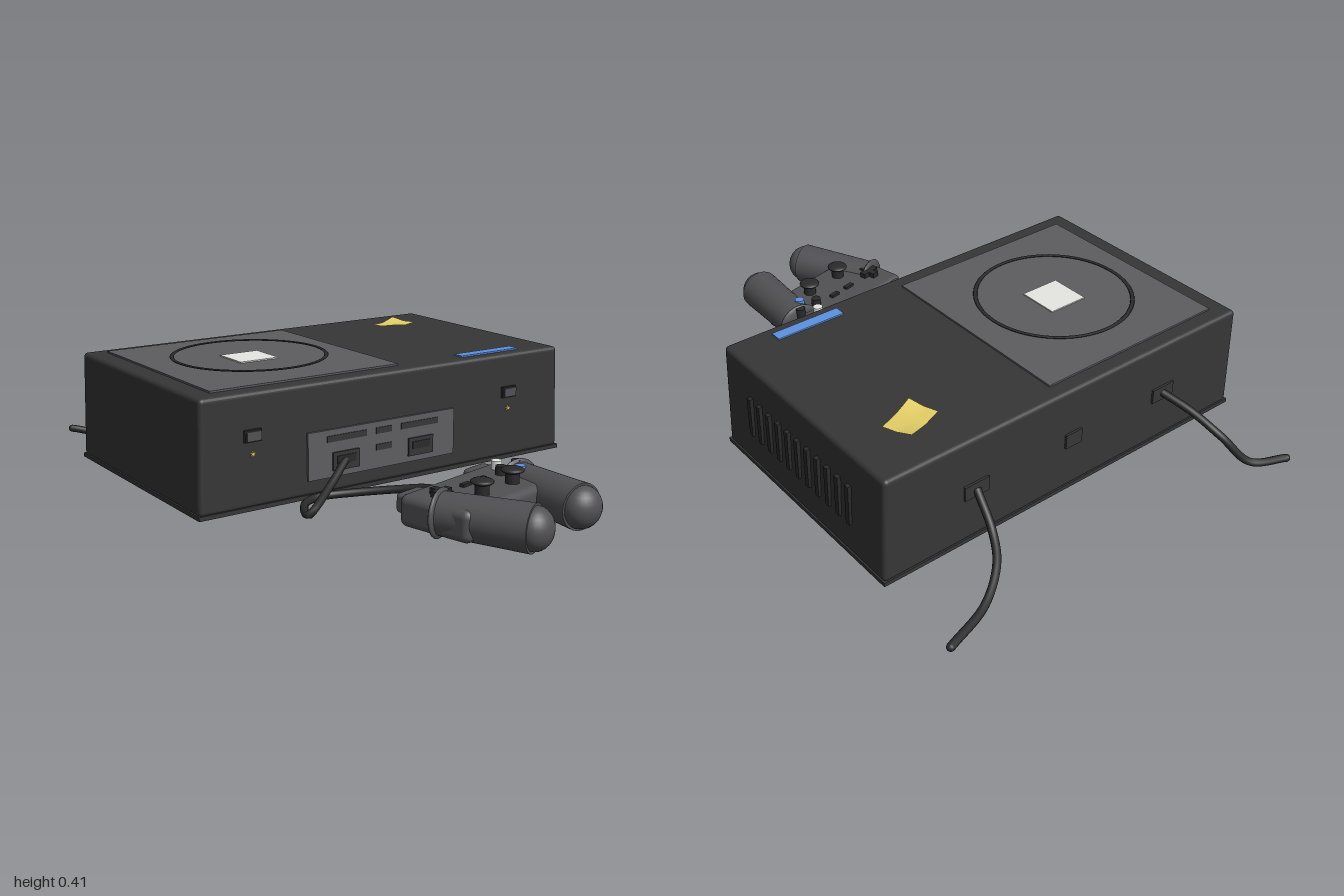
import * as THREE from 'three';
import { RoundedBoxGeometry } from 'three/addons/geometries/RoundedBoxGeometry.js';

const colours = {
  shell: 0x363636, panel: 0x5d5d61, pad: 0x515155, dark: 0x2a2a2b,
  white: 0xe8e8e4, yellow: 0xe4cf66, blue: 0x5c92e2,
};

export function createModel() {
  const model = new THREE.Group();
  const mats = {};
  for (const [name, color] of Object.entries(colours)) {
    mats[name] = new THREE.MeshStandardMaterial({ color });
    mats[name].name = name;
  }

  const add = (name, geo, mat, x = 0, y = 0, z = 0, ry = 0, parent = model) => {
    const mesh = new THREE.Mesh(geo, mats[mat]);
    mesh.name = name;
    mesh.position.set(x, y, z);
    mesh.rotation.y = ry;
    parent.add(mesh);
    return mesh;
  };
  const box = (w, h, d) => new THREE.BoxGeometry(w, h, d);
  const disc = (r, h, n = 24, r2 = r) => new THREE.CylinderGeometry(r, r2, h, n);
  const cable = (name, pts) => {
    const curve = new THREE.CatmullRomCurve3(pts.map((p) => new THREE.Vector3(...p)));
    add(name, new THREE.TubeGeometry(curve, 48, 0.013, 10), 'dark');
    const end = add(name + 'End', new THREE.SphereGeometry(0.013, 10, 8), 'dark');
    end.position.copy(curve.getPoint(1));
  };

  // Console shell, slightly narrower towards the top
  const shell = new RoundedBoxGeometry(1.43, 0.36, 0.85, 3, 0.014);
  const pos = shell.attributes.position;
  for (let i = 0; i < pos.count; i++) {
    const t = (pos.getY(i) + 0.18) / 0.36;
    pos.setX(i, pos.getX(i) * (1 - 0.016 * t));
    pos.setZ(i, pos.getZ(i) * (1 - 0.006 * t));
  }
  shell.computeVertexNormals();
  add('consoleShell', shell, 'shell', -0.003, 0.21, -0.223);
  add('basePlate', box(1.435, 0.014, 0.855), 'shell', -0.003, 0.028, -0.223);

  for (const x of [-0.58, 0.57])
    for (const z of [0.11, -0.55]) add('foot', disc(0.038, 0.024, 24, 0.033), 'dark', x, 0.012, z);

  // Lid panel with a thin raised ring and a label
  add('lidPanel', box(0.695, 0.008, 0.73), 'panel', -0.293, 0.392, -0.225);
  const ring = new THREE.TorusGeometry(0.257, 0.007, 8, 64).rotateX(Math.PI / 2).scale(1, 0.4, 1);
  add('lidRing', ring, 'dark', -0.293, 0.405, -0.225);
  add('lidLabel', box(0.142, 0.004, 0.14), 'white', -0.295, 0.398, -0.225);

  // Blue strip and curled sticker
  add('blueStrip', box(0.245, 0.006, 0.04), 'blue', 0.427, 0.392, 0.14);
  const sticker = new THREE.PlaneGeometry(0.145, 0.1, 12, 6).rotateX(-Math.PI / 2);
  const sp = sticker.attributes.position;
  for (let i = 0; i < sp.count; i++) {
    const u = sp.getX(i) / 0.0725;
    sp.setY(i, 0.010 * Math.max(0, u * sp.getZ(i) / -0.05) + 0.002 * u * u);
  }
  sticker.computeVertexNormals();
  mats.yellow.side = THREE.DoubleSide;
  add('sticker', sticker, 'yellow', 0.477, 0.394, -0.465, 0.37);

  // Front panel, slots and ports
  add('frontPanel', box(0.575, 0.155, 0.012), 'panel', -0.052, 0.157, 0.203);
  for (const [x, w] of [[-0.195, 0.15], [-0.052, 0.06], [0.092, 0.15]])
    add('frontSlot', box(w, 0.02, 0.006), 'shell', x, 0.205, 0.209);
  for (const x of [-0.2, 0.095]) {
    add('controllerPort', box(0.1, 0.06, 0.012), 'shell', x, 0.13, 0.209);
    add('portInset', box(0.07, 0.025, 0.004), 'dark', x, 0.135, 0.216);
  }
  add('centrePort', box(0.06, 0.02, 0.006), 'shell', -0.052, 0.15, 0.209);

  // Front buttons with a small star-shaped light below
  const star = new THREE.Shape();
  for (let i = 0; i < 10; i++) {
    const r = i % 2 ? 0.0045 : 0.01, a = Math.PI / 2 + i * Math.PI / 5;
    star[i ? 'lineTo' : 'moveTo'](r * Math.cos(a), r * Math.sin(a));
  }
  const starGeo = new THREE.ExtrudeGeometry(star, { depth: 0.009, bevelEnabled: false });
  for (const x of [-0.533, 0.477]) {
    add('buttonFrame', box(0.058, 0.038, 0.014), 'dark', x, 0.258, 0.204);
    add('frontButton', box(0.05, 0.03, 0.014), 'pad', x, 0.258, 0.21);
    add('indicator', starGeo, 'yellow', x, 0.2, 0.199);
  }

  // Side vents
  for (let i = 0; i < 11; i++)
    add('ventSlot', box(0.018, 0.14, 0.018), 'dark', 0.708, 0.21, 0.045 - i * 0.0525);

  // Rear sockets and loose cables
  for (const x of [-0.385, 0, 0.38])
    add('rearSocket', box(x ? 0.09 : 0.065, 0.05, 0.014), 'shell', x, 0.21, -0.647);
  cable('rearCableRight', [[-0.385, 0.21, -0.65], [-0.42, 0.175, -0.75], [-0.455, 0.12, -0.85],
    [-0.53, 0.025, -0.92], [-0.625, 0.035, -0.985]]);
  cable('rearCableLeft', [[0.38, 0.21, -0.65], [0.395, 0.12, -0.74], [0.44, 0.075, -0.815],
    [0.54, 0.03, -0.885], [0.71, 0.025, -0.945]]);

  // Controller cable
  cable('controllerCable', [[-0.2, 0.13, 0.21], [-0.3, 0.08, 0.275], [-0.43, 0.03, 0.355],
    [-0.425, 0.025, 0.325], [-0.37, 0.025, 0.24], [-0.3, 0.025, 0.212], [-0.2, 0.03, 0.25],
    [-0.09, 0.045, 0.34], [-0.037, 0.06, 0.42], [-0.028, 0.065, 0.5]]);

  // Controller, turned on the ground
  const pad = new THREE.Group();
  pad.name = 'controller';
  model.add(pad);
  const turn = 0.23;
  const put = (name, geo, mat, x, y, z) => add(name, geo, mat, x, y, z, turn, pad);
  put('controllerBody', new RoundedBoxGeometry(0.47, 0.1, 0.26, 3, 0.025), 'pad', -0.005, 0.072, 0.645);
  put('cableRelief', box(0.04, 0.035, 0.04), 'pad', -0.03, 0.065, 0.52);
  for (const [x, z] of [[-0.193, 0.56], [0.125, 0.48]])
    put('shoulderButton', new RoundedBoxGeometry(0.105, 0.06, 0.06, 2, 0.012), 'pad', x, 0.085, z);

  // Grips: cylinder, domed end, and flared collar
  const grip = (name, x0, z0, x1, z1) => {
    const g = new THREE.Group();
    g.name = name;
    g.position.set(x0, 0.08, z0);
    g.rotation.y = Math.atan2(x1 - x0, z1 - z0);
    pad.add(g);
    const len = Math.hypot(x1 - x0, z1 - z0);
    const barrel = new THREE.CylinderGeometry(0.073, 0.066, len, 28).rotateX(Math.PI / 2);
    add('gripBarrel', barrel, 'pad', 0, 0, len / 2, 0, g);
    const dome = new THREE.SphereGeometry(0.066, 28, 14).scale(1, 1, 0.85);
    add('gripEnd', dome, 'pad', 0, 0, len, 0, g);
    const collar = new THREE.SphereGeometry(0.08, 28, 12).scale(1, 0.95, 0.2);
    add('gripCollar', collar, 'pad', 0, 0, 0, 0, g);
  };
  grip('rightGrip', -0.19, 0.68, -0.058, 0.937);
  grip('leftGrip', 0.195, 0.58, 0.183, 0.873);

  // Thumb sticks
  for (const [x, z] of [[-0.065, 0.715], [0.085, 0.677]]) {
    put('stickStem', disc(0.022, 0.05), 'dark', x, 0.138, z);
    const cap = new THREE.SphereGeometry(0.036, 24, 12).scale(1, 0.3, 1);
    put('stickCap', cap, 'dark', x, 0.162, z);
  }

  // Directional cross, menu pills and face buttons
  put('crossAcross', box(0.07, 0.02, 0.024), 'dark', -0.165, 0.13, 0.652);
  put('crossAlong', box(0.024, 0.02, 0.07), 'dark', -0.165, 0.13, 0.652);
  for (const [x, z] of [[-0.05, 0.622], [0.025, 0.604]])
    put('menuButton', box(0.038, 0.012, 0.016), 'dark', x, 0.125, z);
  for (const [mat, x, z] of [['white', 0.14, 0.54], ['dark', 0.113, 0.592],
    ['blue', 0.165, 0.622], ['dark', 0.195, 0.57]])
    put('faceButton', disc(0.017, 0.04, 20), mat, x, 0.13, z);

  return model;
}
